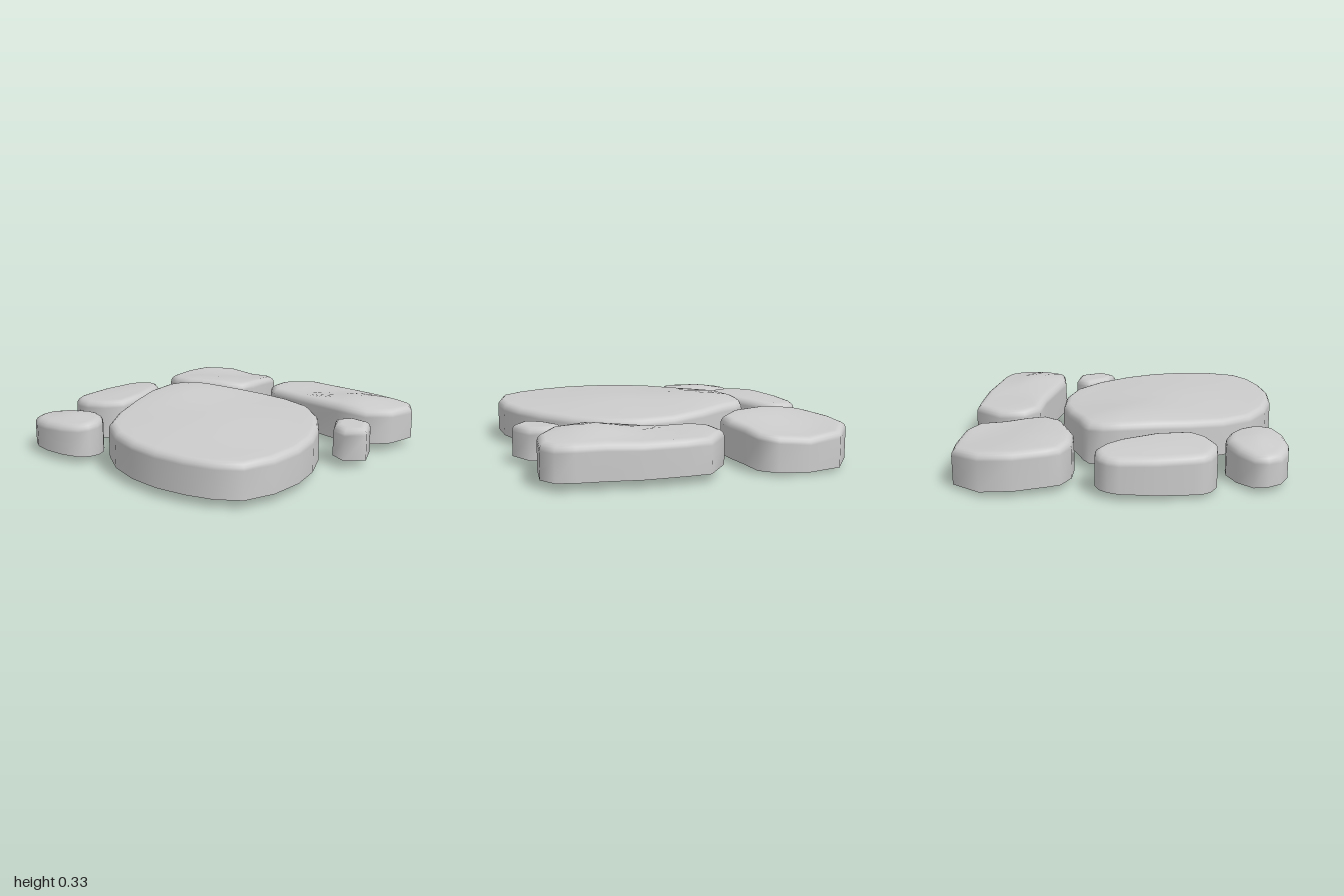
import * as THREE from 'three';
import { mergeGeometries, mergeVertices } from 'three/addons/utils/BufferGeometryUtils.js';

const BEVEL = 0.045;

// Smooth bump of height 1 at (cx, cz) with radii rx, rz
const bump = (x, z, cx, cz, rx, rz) => Math.exp(-(((x - cx) / rx) ** 2) - ((z - cz) / rz) ** 2);

// Closed outline through the corners, with rounded points added between them
function roundOutline(corners, perSide) {
  const curve = new THREE.CatmullRomCurve3(corners.map(([x, z]) => new THREE.Vector3(x, 0, z)), true);
  const n = corners.length * perSide;
  return Array.from({ length: n }, (_, i) => {
    const p = curve.getPoint(i / n);
    return [p.x, p.z];
  });
}

// Outline pushed inward by distance d along the corner normals
function inset(outline, d) {
  const n = outline.length;
  const edgeNormal = (a, b) => new THREE.Vector2(a[1] - b[1], b[0] - a[0]).normalize();
  return outline.map((p, i) => {
    const m = edgeNormal(outline[(i + n - 1) % n], p);
    m.add(edgeNormal(p, outline[(i + 1) % n])).normalize();
    return [p[0] + m.x * d, p[1] + m.y * d];
  });
}

// Closed bands between successive rings of [x, y, z] points
function loft(rings) {
  const n = rings[0].length;
  const index = [];
  for (let r = 0; r < rings.length - 1; r++) {
    for (let i = 0; i < n; i++) {
      const a = r * n + i, b = r * n + ((i + 1) % n);
      index.push(b, a, a + n, b, a + n, b + n);
    }
  }
  const g = new THREE.BufferGeometry();
  g.setAttribute('position', new THREE.Float32BufferAttribute(rings.flat(2), 3));
  g.setIndex(index);
  const welded = mergeVertices(g, 1e-5);
  welded.computeVertexNormals();
  return welded;
}

// Stone with a sharp-edged underside, upright wall, rounded shoulder and uneven top
function stoneGeometry(outline, top, base) {
  const n = outline.length;
  const cx = outline.reduce((s, p) => s + p[0], 0) / n;
  const cz = outline.reduce((s, p) => s + p[1], 0) / n;
  const scaled = (pts, k) => pts.map(([x, z]) => [cx + (x - cx) * k, cz + (z - cz) * k]);
  const lift = (pts, height) => pts.map(([x, z]) => [x, height(x, z), z]);

  // Underside, from the centre outward
  const under = [0, 0.2, 0.4, 0.6, 0.8, 1].map((k) => lift(scaled(outline, k), base));

  // Wall and shoulder, then the top surface to the centre
  const upper = [lift(outline, base)];
  for (let i = 0; i <= 4; i++) {
    const t = (i / 4) * Math.PI / 2;
    const ring = inset(outline, BEVEL * (1 - Math.cos(t)));
    upper.push(lift(ring, (x, z) => top(x, z) - BEVEL * (1 - Math.sin(t))));
  }
  const rim = inset(outline, BEVEL);
  for (const k of [0.9, 0.75, 0.6, 0.4, 0.2, 0]) upper.push(lift(scaled(rim, k), top));

  return mergeGeometries([loft(under), loft(upper)]);
}

export function createModel() {
  const group = new THREE.Group();
  group.name = 'steppingStones';
  const material = new THREE.MeshStandardMaterial({ color: 0xcccccc });

  // Corners run clockwise seen from above; top and base give heights at x, z
  const addStone = (name, corners, perSide, top, base) => {
    const mesh = new THREE.Mesh(stoneGeometry(roundOutline(corners, perSide), top, base), material);
    mesh.name = name;
    group.add(mesh);
  };

  addStone('largeStone',
    [[-0.82, -0.21], [-0.42, -0.44], [0, -0.555], [0.2, -0.525], [0.27, -0.38], [0.4, 0.01], [0.35, 0.43],
      [0, 0.78], [-0.41, 0.95], [-0.82, 0.9], [-0.975, 0.6], [-0.995, 0.2]], 2,
    (x, z) => 0.258 + 0.045 * bump(x, z, -0.3, 0.2, 0.6, 0.6) + 0.06 * bump(x, z, -0.02, -0.4, 0.42, 0.35),
    (x, z) => 0.052 - 0.015 * bump(x, z, 0, 0.2, 0.35, 0.35));

  addStone('longStone',
    [[0.64, -0.13], [0.8, -0.15], [0.98, 0], [0.985, 0.15], [0.98, 0.4], [0.945, 0.6], [0.925, 0.77],
      [0.895, 0.88], [0.8, 0.945], [0.6, 0.92], [0.46, 0.81], [0.435, 0.6], [0.535, 0.2], [0.55, -0.03]], 1,
    (x, z) => 0.258 + 0.052 * bump(x, z, 0.62, 0.62, 0.24, 0.25) + 0.012 * bump(x, z, 0.7, 0, 0.25, 0.2),
    (x, z) => 0.053 - 0.018 * bump(x, z, 0.52, 0.18, 0.2, 0.2));

  addStone('backRightStone',
    [[0.34, -0.87], [0.41, -0.9], [0.6, -0.955], [0.8, -0.955], [0.975, -0.82], [1, -0.61], [0.975, -0.42],
      [0.9, -0.32], [0.74, -0.305], [0.6, -0.265], [0.475, -0.26], [0.37, -0.38], [0.28, -0.62], [0.285, -0.76]], 1,
    (x, z) => 0.262 - 0.04 * bump(x, z, 1, -0.6, 0.3, 0.25) + 0.035 * bump(x, z, 0.38, -0.5, 0.25, 0.3),
    (x, z) => 0.045 - 0.044 * bump(x, z, 0.82, -0.61, 0.28, 0.35));

  addStone('backStone',
    [[-0.52, -0.91], [-0.42, -0.96], [0, -1], [0.115, -0.945], [0.145, -0.82], [0, -0.67],
      [-0.42, -0.535], [-0.57, -0.73]], 2,
    (x, z) => 0.26 + 0.06 * (z + 0.77) + 0.012 * bump(x, z, -0.2, -0.77, 0.3, 0.2),
    (x) => 0.022 + 0.035 * (x + 0.55));

  addStone('backLeftStone',
    [[-0.93, -0.82], [-0.77, -0.85], [-0.63, -0.61], [-0.66, -0.46], [-0.8, -0.34], [-0.94, -0.36],
      [-1, -0.61]], 2,
    (x, z) => 0.228 + 0.06 * (z + 0.6) + 0.03 * bump(x, z, -0.8, -0.6, 0.15, 0.2),
    (x) => 0.015 - 0.09 * (x + 0.63));

  addStone('smallStone',
    [[0.14, 0.785], [0.27, 0.705], [0.37, 0.77], [0.355, 0.915], [0.195, 0.995], [0.09, 0.905]], 1,
    () => 0.252,
    () => 0.052);

  return group;
}
